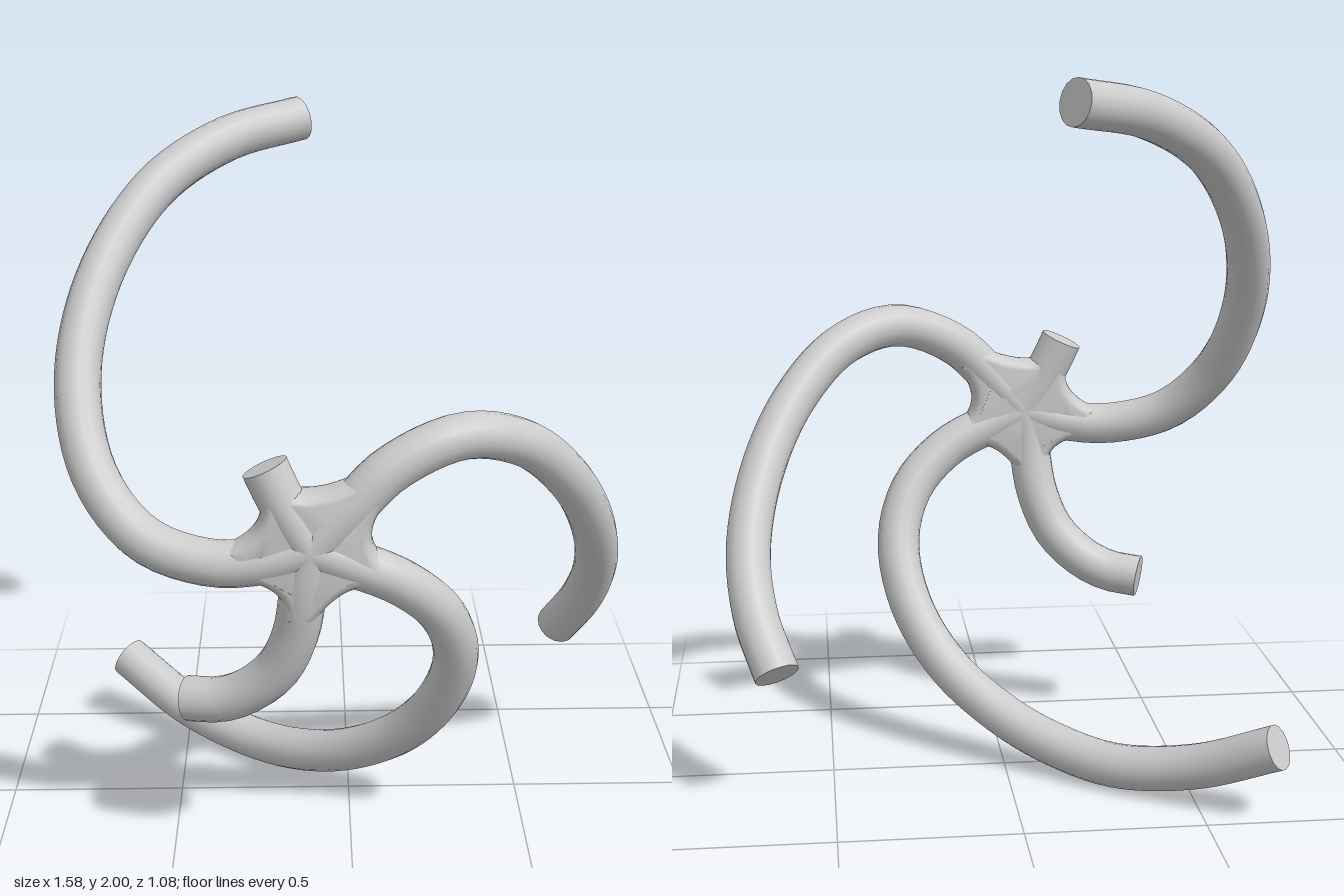
import * as THREE from 'three';
import { toCreasedNormals } from 'three/addons/utils/BufferGeometryUtils.js';

const RADIUS = 0.063;
const HUB = [-0.11, 0.97, 0.48];

// Centre lines of the arms, each starting at the hub and sweeping backwards
const ARMS = {
  upperRightArm: [
    [-0.25, 0.932, 0.475], [-0.38, 0.925, 0.46], [-0.55, 0.975, 0.412], [-0.68, 1.12, 0.32],
    [-0.73, 1.34, 0.18], [-0.68, 1.58, 0.01], [-0.535, 1.79, -0.175], [-0.34, 1.9, -0.325], [-0.13, 1.939, -0.455],
  ],
  leftArm: [
    [0, 1.085, 0.475], [0.1, 1.18, 0.458], [0.28, 1.25, 0.41], [0.45, 1.205, 0.325], [0.59, 1.07, 0.215],
    [0.685, 0.89, 0.08], [0.726, 0.7, -0.065], [0.708, 0.54, -0.187], [0.652, 0.403, -0.29],
  ],
  lowerArm: [
    [0, 0.925, 0.475], [0.13, 0.86, 0.453], [0.24, 0.75, 0.403], [0.287, 0.6, 0.333], [0.253, 0.42, 0.24],
    [0.15, 0.26, 0.14], [0, 0.145, 0.025], [-0.15, 0.085, -0.09], [-0.3, 0.068, -0.21],
    [-0.5, 0.112, -0.345], [-0.695, 0.215, -0.487],
  ],
  shortLowerArm: [
    [-0.13, 0.85, 0.475], [-0.15, 0.72, 0.45], [-0.2, 0.6, 0.42], [-0.28, 0.52, 0.39],
    [-0.36, 0.48, 0.362], [-0.452, 0.467, 0.328],
  ],
  upperStub: [[-0.17, 1.07, 0.475], [-0.2, 1.13, 0.47], [-0.227, 1.19, 0.465]],
};

// Fillets between neighbouring arms: start, control and end of each curve
const FILLETS = [
  [-0.33, 0.975, -0.213, 1.03, -0.245, 1.13],
  [-0.17, 1.14, -0.095, 1.11, 0.04, 1.18],
  [0.1, 1.115, -0.01, 0.99, 0.12, 0.91],
  [0.085, 0.85, -0.01, 0.905, -0.105, 0.76],
  [-0.185, 0.765, -0.16, 0.87, -0.31, 0.89],
];

function makeArm(name, points, material) {
  const arm = new THREE.Group();
  arm.name = name;
  const curve = new THREE.CatmullRomCurve3([HUB, ...points].map((p) => new THREE.Vector3(...p)));
  const segments = Math.max(8, Math.round(curve.getLength() / 0.04));
  const tube = new THREE.Mesh(new THREE.TubeGeometry(curve, segments, RADIUS, 16), material);
  tube.name = name + 'Tube';

  // flat cut at the tip
  const cap = new THREE.Mesh(new THREE.CircleGeometry(RADIUS, 16), material);
  cap.name = name + 'Tip';
  cap.position.copy(curve.getPoint(1));
  cap.lookAt(cap.position.clone().add(curve.getTangent(1)));
  arm.add(tube, cap);
  return arm;
}

function makeHub(material) {
  const outline = new THREE.Shape();
  FILLETS.forEach(([sx, sy, cx, cy, ex, ey], i) => {
    if (i) outline.lineTo(sx, sy);
    else outline.moveTo(sx, sy);
    outline.quadraticCurveTo(cx, cy, ex, ey);
  });
  outline.closePath();

  // rounded web, bowed slightly backwards along the arms
  const bevel = 0.05;
  const web = new THREE.ExtrudeGeometry(outline, {
    depth: 0.012, curveSegments: 12, bevelEnabled: true,
    bevelThickness: bevel, bevelSize: bevel * 0.6, bevelOffset: -bevel * 0.6, bevelSegments: 5,
  });
  const pos = web.attributes.position;
  for (let i = 0; i < pos.count; i++) {
    const d = Math.hypot(pos.getX(i) - HUB[0], pos.getY(i) - HUB[1]);
    pos.setZ(i, pos.getZ(i) - 0.006 + HUB[2] - 0.25 * d * d);
  }
  const webMesh = new THREE.Mesh(toCreasedNormals(web, 0.9), material);
  webMesh.name = 'hubWeb';

  const core = new THREE.Mesh(new THREE.SphereGeometry(RADIUS, 20, 14), material);
  core.name = 'hubCore';
  core.position.set(...HUB);

  const hub = new THREE.Group();
  hub.name = 'hub';
  hub.add(webMesh, core);
  return hub;
}

export function createModel() {
  const model = new THREE.Group();
  model.name = 'curvedArmStar';
  const material = new THREE.MeshStandardMaterial({ color: 0xcccccc });
  model.add(makeHub(material));
  for (const [name, points] of Object.entries(ARMS)) model.add(makeArm(name, points, material));
  return model;
}
